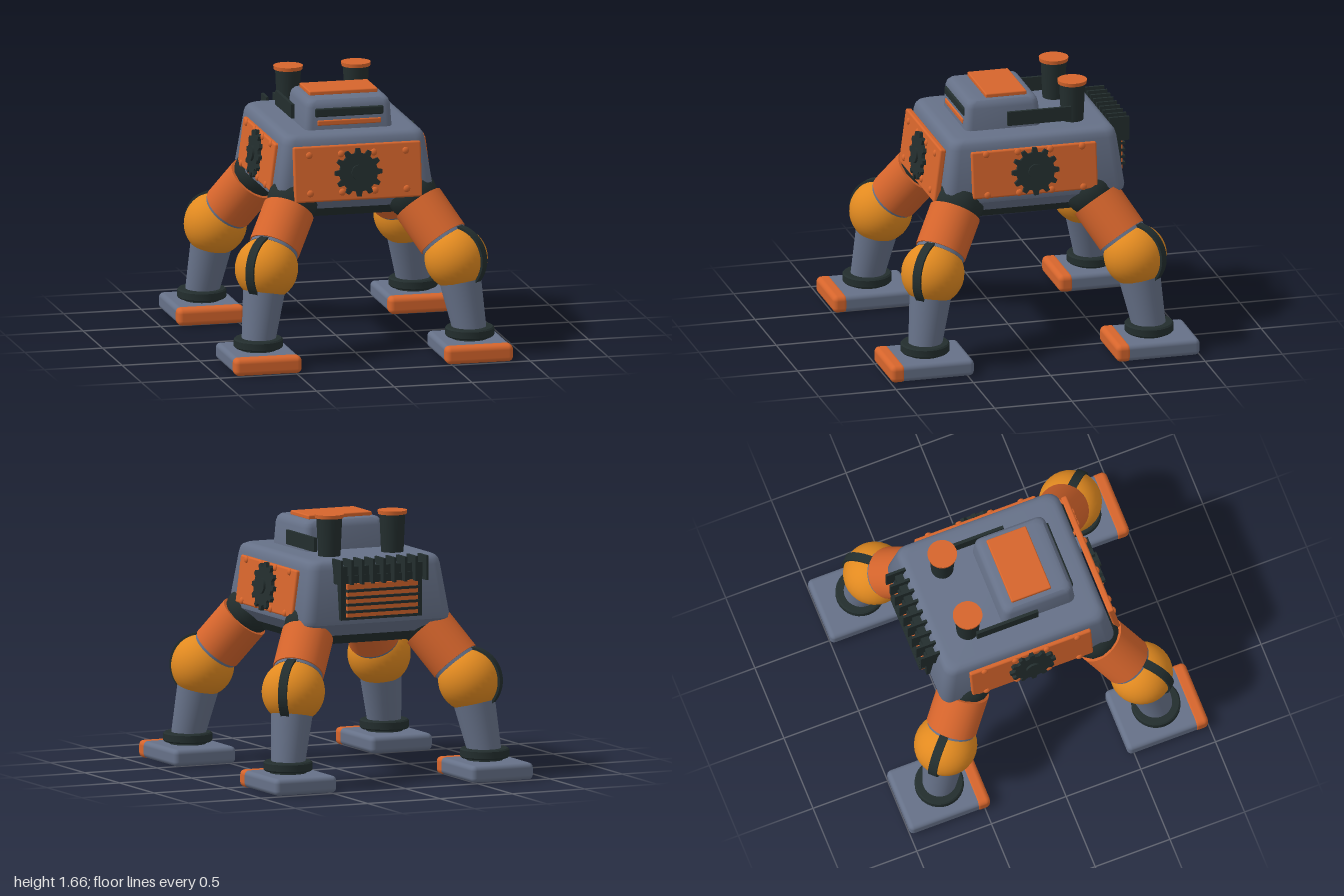
import * as THREE from 'three';
import { toCreasedNormals } from 'three/addons/utils/BufferGeometryUtils.js';
import { RoundedBoxGeometry } from 'three/addons/geometries/RoundedBoxGeometry.js';

const material = (name, color) => {
  const m = new THREE.MeshStandardMaterial({ color });
  m.name = name;
  return m;
};
const grey = material('slate grey', 0x667188);
const orange = material('burnt orange', 0xd6652c);
const amber = material('amber', 0xe28a20);
const dark = material('dark iron', 0x232e2e);

function add(parent, name, geometry, mat, x = 0, y = 0, z = 0) {
  const mesh = new THREE.Mesh(geometry, mat);
  mesh.name = name;
  mesh.position.set(x, y, z);
  parent.add(mesh);
  return mesh;
}

function addGroup(parent, name, x = 0, y = 0, z = 0) {
  const g = new THREE.Group();
  g.name = name;
  g.position.set(x, y, z);
  parent.add(g);
  return g;
}

const box = (w, h, d) => new THREE.BoxGeometry(w, h, d);
const plate = (w, h, d, r) => new RoundedBoxGeometry(w, h, d, 3, r);

// Tapered rod from point a to point b
function rod(parent, name, a, b, ra, rb, mat) {
  const dir = b.clone().sub(a);
  const mesh = add(parent, name, new THREE.CylinderGeometry(rb, ra, dir.length(), 28), mat);
  mesh.position.copy(a).add(b).multiplyScalar(0.5);
  mesh.quaternion.setFromUnitVectors(new THREE.Vector3(0, 1, 0), dir.normalize());
  return mesh;
}

// Closed hull through rounded rectangles, each level [y, halfWidth, halfDepth]
function hull(levels, radius, steps = 5) {
  const n = 4 * (steps + 1), pos = [], index = [];
  for (const [y, hw, hd] of levels) {
    for (let c = 0; c < 4; c++) {
      const sx = c === 0 || c === 3 ? 1 : -1, sz = c < 2 ? 1 : -1;
      for (let i = 0; i <= steps; i++) {
        const a = (c + i / steps) * Math.PI / 2;
        pos.push(sx * (hw - radius) + radius * Math.cos(a), y, sz * (hd - radius) + radius * Math.sin(a));
      }
    }
  }
  for (let l = 0; l < levels.length - 1; l++) {
    for (let i = 0; i < n; i++) {
      const a = l * n + i, b = l * n + (i + 1) % n;
      index.push(a, a + n, b, b, a + n, b + n);
    }
  }
  const top = (levels.length - 1) * n;
  for (let i = 1; i < n - 1; i++) index.push(0, i, i + 1, top, top + i + 1, top + i);
  const g = new THREE.BufferGeometry();
  g.setAttribute('position', new THREE.Float32BufferAttribute(pos, 3));
  g.setIndex(index);
  return toCreasedNormals(g, 0.6);
}

function gearGeometry(root, tip, teeth, depth) {
  const s = new THREE.Shape();
  const step = 2 * Math.PI / teeth;
  for (let i = 0; i < teeth; i++) {
    [[-0.3, root], [-0.16, tip], [0.16, tip], [0.3, root]].forEach(([f, r], k) => {
      const a = (i + f) * step;
      s[i + k === 0 ? 'moveTo' : 'lineTo'](r * Math.cos(a), r * Math.sin(a));
    });
  }
  s.closePath();
  return new THREE.ExtrudeGeometry(s, { depth, bevelEnabled: false });
}

// Riveted armour panel with a gear, facing local +z and leaning back
function addPanel(parent, name, w, h, rivetY, x, y, z, turn) {
  const mount = addGroup(parent, name, x, y, z);
  mount.rotation.y = turn;
  const panel = addGroup(mount, name + 'Tilt');
  panel.rotation.x = -0.13;
  add(panel, 'armourPlate', plate(w, h, 0.04, 0.012), orange);
  for (const rx of [-0.31, -0.105, 0.105, 0.31]) {
    for (const ry of [-rivetY, rivetY]) {
      add(panel, 'rivet', new THREE.SphereGeometry(0.022, 12, 8), orange, rx, ry, 0.02).scale.z = 0.6;
    }
  }
  add(panel, 'gear', gearGeometry(0.122, 0.152, 12, 0.025), dark, 0, 0, 0.018);
  add(panel, 'gearHub', new THREE.CylinderGeometry(0.048, 0.048, 0.04, 20), dark, 0, 0, 0.037).rotation.x = Math.PI / 2;
}

function addLeg(parent, name, sx, sz) {
  const leg = addGroup(parent, name);
  const point = (x, y, z) => new THREE.Vector3(sx * x, y, sz * z);
  const hip = point(0.385, 0.975, 0.425);
  const knee = point(0.61, 0.605, 0.655);
  const ankle = point(0.68, 0.16, 0.725);
  const along = t => hip.clone().lerp(knee, t);

  add(leg, 'hipJoint', new THREE.SphereGeometry(0.16, 16, 12), dark).position.copy(hip);
  rod(leg, 'thighSleeve', along(0.14), along(0.7), 0.163, 0.163, orange);
  rod(leg, 'kneeCollar', along(0.66), along(0.74), 0.155, 0.155, grey);
  add(leg, 'kneeBall', new THREE.SphereGeometry(0.198, 32, 20), amber).position.copy(knee);
  rod(leg, 'shin', ankle, ankle.clone().lerp(knee, 0.85), 0.105, 0.137, grey);

  // Curved guard over the outside of the knee
  const arc = new THREE.Shape();
  arc.absarc(0, 0, 0.21, -0.9, 1.65, false);
  arc.absarc(0, 0, 0.17, 1.65, -0.9, true);
  const guard = new THREE.ExtrudeGeometry(arc, { depth: 0.056, bevelEnabled: false, curveSegments: 14 });
  guard.translate(0, 0, -0.028);
  const guardMesh = add(leg, 'kneeGuard', guard, dark);
  guardMesh.position.copy(knee);
  guardMesh.rotation.y = Math.atan2(-sz, sx);

  // Ankle ring with softened edges
  const ring = [[0, 0], [0.145, 0], [0.154, 0.009], [0.154, 0.051], [0.145, 0.06], [0, 0.06]]
    .map(([r, y]) => new THREE.Vector2(r, y));
  add(leg, 'ankleRing', toCreasedNormals(new THREE.LatheGeometry(ring, 28), 0.5), dark, sx * 0.68, 0.122, sz * 0.725);
  add(leg, 'anklePost', new THREE.CylinderGeometry(0.11, 0.12, 0.05, 24), dark, sx * 0.68, 0.11, sz * 0.725);

  // Foot with the toe always facing forward
  add(leg, 'foot', plate(0.425, 0.106, 0.52, 0.03), grey, sx * 0.68, 0.055, sz * 0.73 - 0.01);
  add(leg, 'toeCap', plate(0.432, 0.11, 0.1, 0.032), orange, sx * 0.68, 0.055, sz * 0.73 + 0.22);
}

export function createModel() {
  const model = new THREE.Group();
  model.name = 'fourLeggedWalker';

  // Main hull and belly
  add(model, 'body', hull([
    [0.92, 0.41, 0.49], [1.0, 0.5, 0.58], [1.03, 0.505, 0.585], [1.34, 0.46, 0.545],
    [1.37, 0.453, 0.537], [1.388, 0.44, 0.524], [1.398, 0.42, 0.504], [1.4, 0.4, 0.484],
  ], 0.07), grey, 0, 0, -0.045);
  add(model, 'bellyPlate', hull([[0.86, 0.35, 0.43], [0.93, 0.4, 0.48]], 0.05), dark, 0, 0, -0.045);

  // Cabin with hatch, visor and trim
  add(model, 'cabin', hull([
    [1.39, 0.282, 0.245], [1.54, 0.272, 0.235], [1.568, 0.264, 0.227], [1.585, 0.248, 0.211], [1.59, 0.225, 0.188],
  ], 0.045), grey, 0, 0, 0.105);
  add(model, 'roofHatch', plate(0.44, 0.03, 0.265, 0.008), orange, 0, 1.6, 0.072);
  add(model, 'visor', plate(0.44, 0.055, 0.03, 0.01), dark, 0, 1.508, 0.337);
  add(model, 'visorTrim', plate(0.41, 0.034, 0.024, 0.008), orange, 0, 1.443, 0.342);

  // Side rails and exhaust stacks
  for (const s of [-1, 1]) {
    add(model, 'sideRail', box(0.02, 0.09, 0.41), dark, s * 0.298, 1.467, -0.12);
    const stack = addGroup(model, 'exhaustStack', s * 0.218, 0, -0.355);
    add(stack, 'pipe', new THREE.CylinderGeometry(0.081, 0.07, 0.25, 24), dark, 0, 1.515, 0);
    add(stack, 'cap', new THREE.CylinderGeometry(0.093, 0.09, 0.024, 24), orange, 0, 1.65, 0);
  }

  // Armour panels
  addPanel(model, 'frontPanel', 0.82, 0.35, 0.12, 0, 1.167, 0.553, 0);
  for (const s of [-1, 1]) addPanel(model, 'sidePanel', 0.81, 0.3, 0.13, s * 0.485, 1.18, -0.035, s * Math.PI / 2);

  // Rear radiator with slats and cooling fins
  const radiator = addGroup(model, 'radiator');
  add(radiator, 'frame', box(0.56, 0.28, 0.07), dark, 0, 1.17, -0.62);
  add(radiator, 'core', box(0.49, 0.21, 0.04), orange, 0, 1.155, -0.652);
  for (let i = 0; i < 4; i++) add(radiator, 'slat', box(0.5, 0.016, 0.06), dark, 0, 1.085 + i * 0.044, -0.66);
  add(radiator, 'finBar', box(0.6, 0.09, 0.05), dark, 0, 1.32, -0.62);
  for (let i = 0; i < 9; i++) add(radiator, 'fin', box(0.016, 0.155, 0.13), dark, -0.296 + i * 0.074, 1.335, -0.637);

  // Legs
  for (const sx of [-1, 1]) {
    for (const sz of [-1, 1]) addLeg(model, (sz > 0 ? 'front' : 'rear') + (sx > 0 ? 'Left' : 'Right') + 'Leg', sx, sz);
  }
  return model;
}
